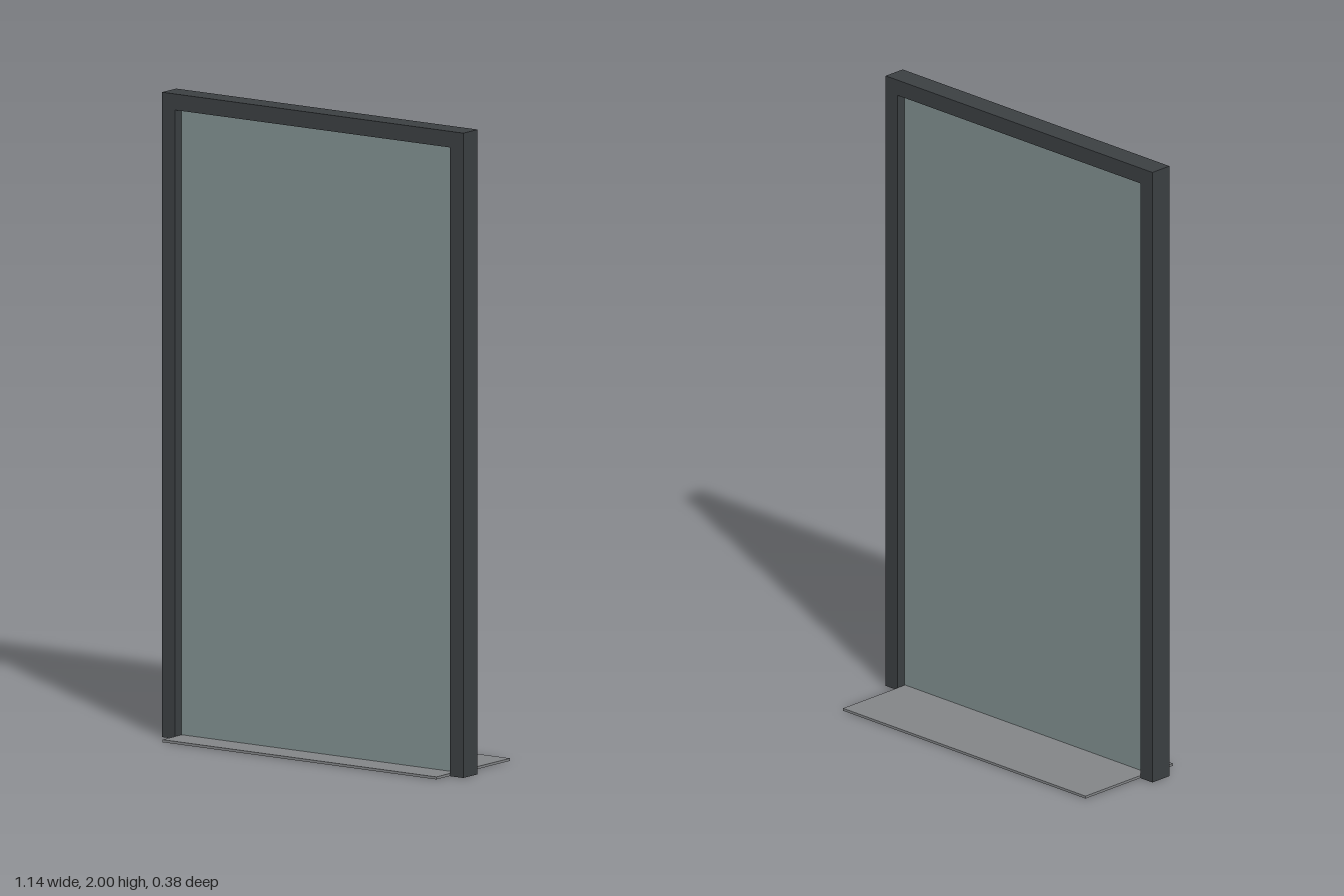
import * as THREE from 'three';

const HALF_W = 0.57, INNER_W = 0.52, HEIGHT = 2, INNER_H = 1.95;
const FRAME_BACK = 0.048, FRAME_DEPTH = 0.074, SILL_H = 0.008;

function addPart(group, name, geometry, color, x, y, z) {
  const mesh = new THREE.Mesh(geometry, new THREE.MeshStandardMaterial({ color }));
  mesh.name = name;
  mesh.position.set(x, y, z);
  group.add(mesh);
}

export function createModel() {
  const group = new THREE.Group();
  group.name = 'glazedDoorway';

  // Frame: two jambs and a head in one outline, open at the bottom
  const outline = new THREE.Shape([
    [-HALF_W, 0], [-INNER_W, 0], [-INNER_W, INNER_H], [INNER_W, INNER_H],
    [INNER_W, 0], [HALF_W, 0], [HALF_W, HEIGHT], [-HALF_W, HEIGHT],
  ].map(([x, y]) => new THREE.Vector2(x, y)));
  const frame = new THREE.ExtrudeGeometry(outline, { depth: FRAME_DEPTH, bevelEnabled: false });
  addPart(group, 'frame', frame, 0x3b3f42, 0, 0, FRAME_BACK);

  // Glass pane, set midway in the frame depth and standing on the sill
  const paneH = INNER_H - SILL_H;
  addPart(group, 'glassPane', new THREE.BoxGeometry(INNER_W * 2, paneH, 0.01), 0x819090,
    0, SILL_H + paneH / 2, FRAME_BACK + FRAME_DEPTH / 2);

  // Thin sill plate between the jambs, reaching out front and back
  addPart(group, 'sillPlate', new THREE.BoxGeometry(1.036, SILL_H, 0.38), 0x828487,
    0, SILL_H / 2, 0);

  return group;
}
